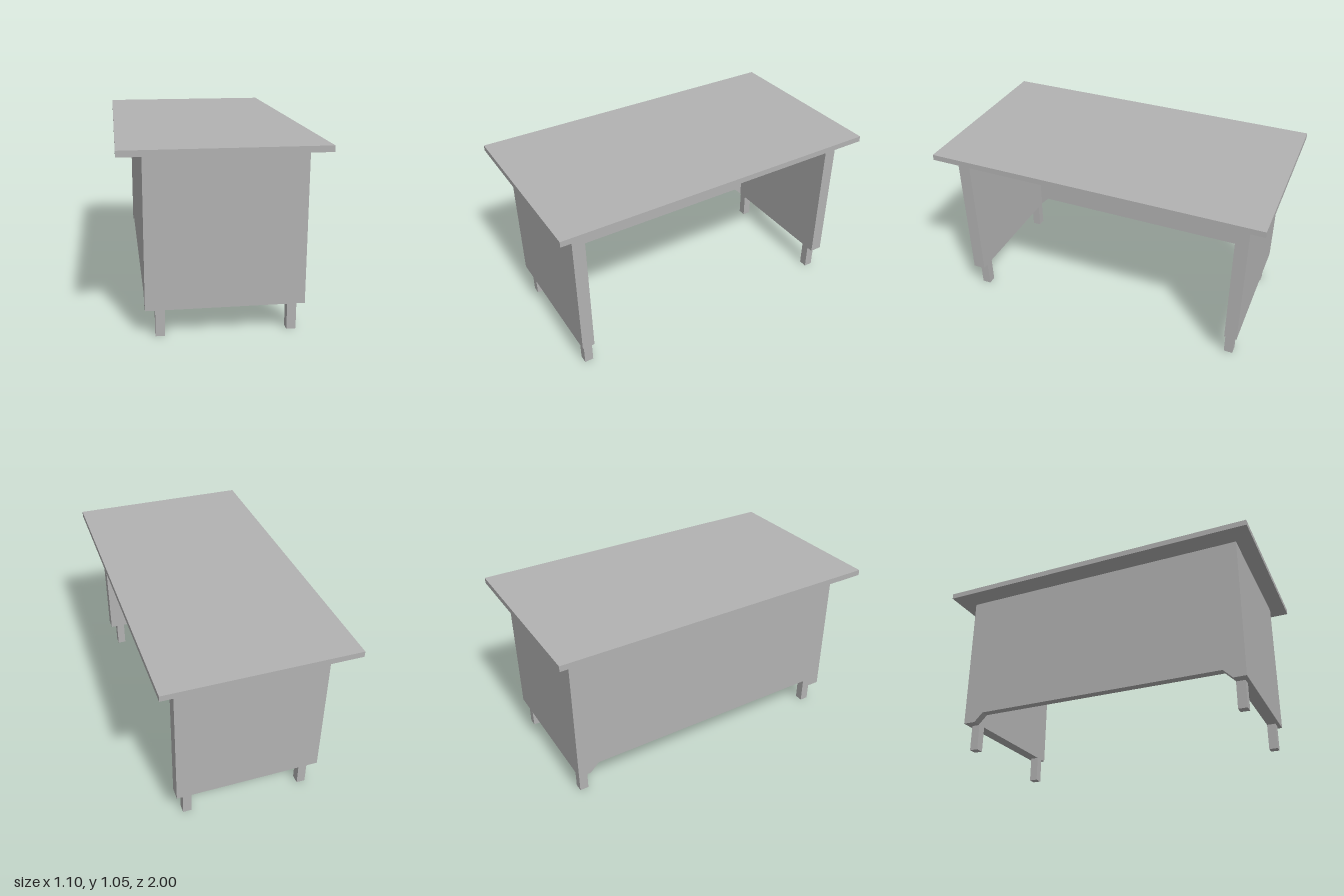
import * as THREE from 'three';

export function createModel() {
  const model = new THREE.Group();
  model.name = 'desk';
  const grey = new THREE.MeshStandardMaterial({ color: 0xb2b2b2 });
  grey.name = 'plain grey';

  // box given by its lower and upper limits on each axis
  const block = (name, [x0, x1], [y0, y1], [z0, z1]) => {
    const mesh = new THREE.Mesh(new THREE.BoxGeometry(x1 - x0, y1 - y0, z1 - z0), grey);
    mesh.position.set((x0 + x1) / 2, (y0 + y1) / 2, (z0 + z1) / 2);
    mesh.name = name;
    model.add(mesh);
  };

  const back = -0.42, open = 0.455;            // depth of the body along x
  const bottom = 0.16, under = 1.018;          // body heights
  const inner = 0.827, outer = 0.902;          // end panel faces along z

  block('tabletop', [-0.552, 0.552], [under, 1.052], [-1, 1]);

  // end panels, each on two square feet
  for (const [side, s] of [['front', 1], ['rear', -1]]) {
    const span = (a, b) => (s > 0 ? [a, b] : [-b, -a]);
    block(side + 'EndPanel', [back, open], [bottom, under], span(inner, outer));
    for (const [place, x] of [['Inner', -0.338], ['Outer', 0.388]]) {
      block(side + place + 'Foot', [x - 0.026, x + 0.026], [0, bottom], span(inner, 0.88));
    }
  }

  // modesty panel with its lower edge raised between chamfered corners
  const rise = 0.055, thickness = 0.05;
  const outline = new THREE.Shape([
    [-inner, bottom], [-inner + rise, bottom + rise],
    [inner - rise, bottom + rise], [inner, bottom],
    [inner, under], [-inner, under],
  ].map(([x, y]) => new THREE.Vector2(x, y)));
  const panel = new THREE.Mesh(
    new THREE.ExtrudeGeometry(outline, { depth: thickness, bevelEnabled: false }), grey);
  panel.rotation.y = Math.PI / 2;
  panel.position.x = back;
  panel.name = 'modestyPanel';
  model.add(panel);

  return model;
}
